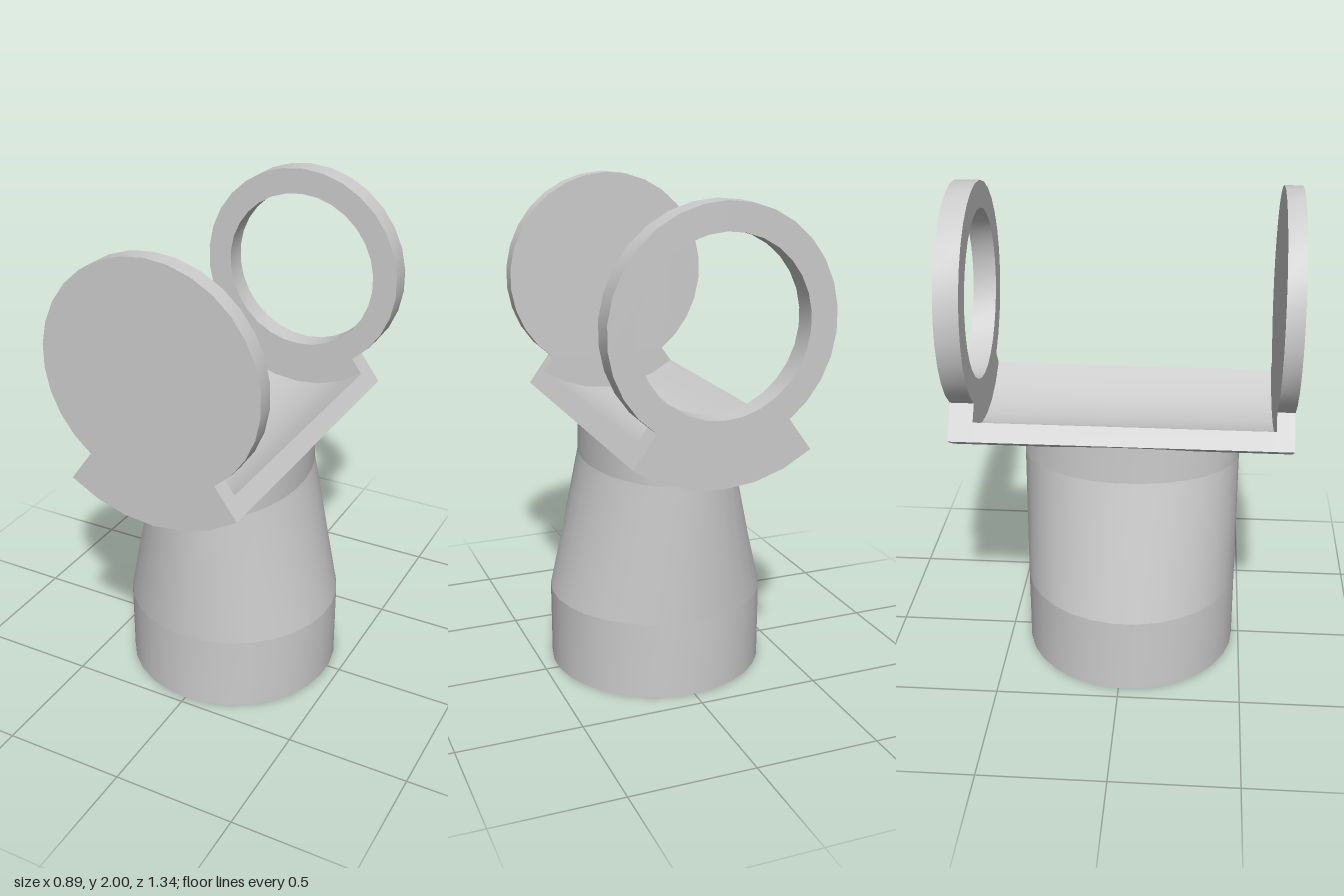
import * as THREE from 'three';
import { mergeVertices, toCreasedNormals } from 'three/addons/utils/BufferGeometryUtils.js';

const CY = 1.557;          // height of the common axis of discs and cradle
const R_DISC = 0.443, R_HOLE = 0.337, R_SHEET = 0.519, R_OUT = 0.597;
const STEP = 12;           // degrees per facet
const SPREAD = 36;         // half angle of the cradle, from straight down

// Points on an arc about the axis; the angle runs from straight down towards +x
function arc(radius, from, to) {
  const points = [];
  const n = Math.round(Math.abs(to - from) / STEP);
  for (let i = 0; i <= n; i++) {
    const a = THREE.MathUtils.degToRad(from + ((to - from) * i) / n);
    points.push(new THREE.Vector2(radius * Math.sin(a), CY - radius * Math.cos(a)));
  }
  return points;
}

export function createModel() {
  const group = new THREE.Group();
  const material = new THREE.MeshStandardMaterial({ color: 0xcccccc });

  function add(name, geometry, parent = group) {
    const mesh = new THREE.Mesh(geometry, material);
    mesh.name = name;
    parent.add(mesh);
    return mesh;
  }

  function slab(name, shape, z0, z1) {
    const geometry = new THREE.ExtrudeGeometry(shape, { depth: z1 - z0, bevelEnabled: false });
    geometry.translate(0, 0, z0);
    add(name, toCreasedNormals(geometry, 0.4));
  }

  // End plates: a disc standing on a sector-shaped foot
  const plateOutline = () =>
    new THREE.Shape([...arc(R_OUT, -SPREAD, SPREAD), ...arc(R_DISC, SPREAD, 360 - SPREAD)]);
  slab('frontDisc', plateOutline(), 0.6, 0.67);
  const ring = plateOutline();
  ring.holes.push(new THREE.Path(arc(R_HOLE, 360, 0)));
  slab('backRing', ring, -0.67, -0.575);

  // Curved trough joining the two plates
  const trough = new THREE.Shape([...arc(R_OUT, -SPREAD, SPREAD), ...arc(R_SHEET, SPREAD, -SPREAD)]);
  slab('cradle', trough, -0.575, 0.6);

  // Pedestal: round foot, narrowing in x only to an oval neck that meets the cradle
  const pedestal = new THREE.Group();
  pedestal.name = 'pedestal';
  pedestal.position.z = 0.025;
  group.add(pedestal);
  const R = 0.445, NECK = 0.305;

  function band(name, y0, y1, x0, x1, fitCradle = false) {
    let geometry = new THREE.CylinderGeometry(R, R, 1, 30, 1, true);
    geometry.deleteAttribute('uv');
    geometry.deleteAttribute('normal');
    geometry = mergeVertices(geometry);
    const p = geometry.attributes.position;
    for (let i = 0; i < p.count; i++) {
      const top = p.getY(i) > 0;
      const x = (p.getX(i) * (top ? x1 : x0)) / R;
      // the top rim follows the underside of the cradle, slightly inside it
      const y = top ? (fitCradle ? CY - Math.sqrt(0.56 ** 2 - x * x) : y1) : y0;
      p.setXYZ(i, x, y, p.getZ(i));
    }
    geometry.computeVertexNormals();
    add(name, geometry, pedestal);
  }
  band('foot', 0, 0.32, R, R);
  band('taper', 0.32, 0.89, R, NECK);
  band('neck', 0.89, 1, NECK, NECK, true);
  add('footBase', new THREE.CircleGeometry(R, 30).rotateZ(Math.PI / 2).rotateX(Math.PI / 2), pedestal);

  return group;
}
